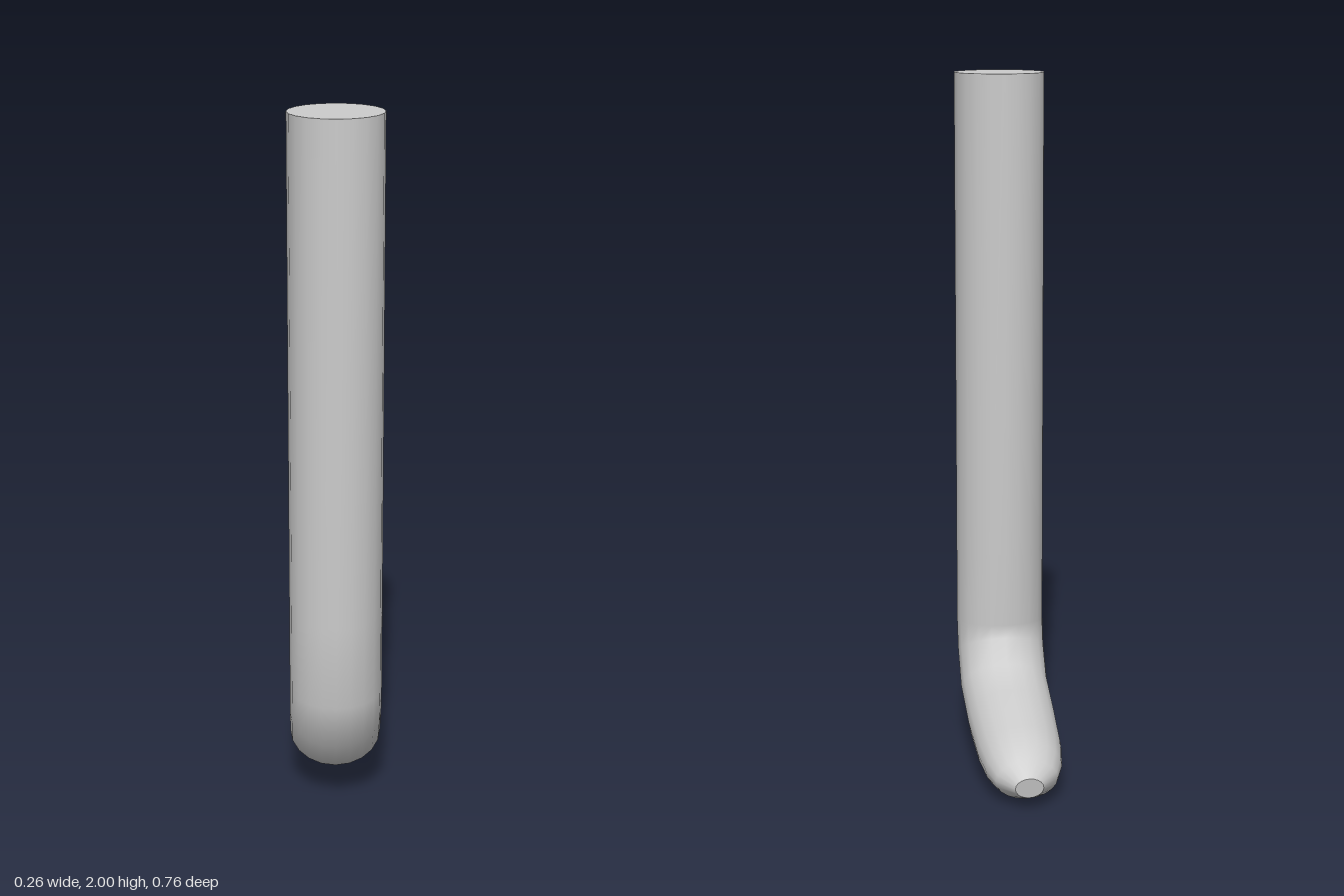
import * as THREE from 'three';

const SIDES = 20;

// Cross-sections from the top down to the tip:
// [outer z, outer y, inner z, inner y, half width in x]
const SECTIONS = [
  [0.38, 2, 0.12, 2, 0.13],
  [0.38, 0.6, 0.122, 0.6, 0.13],
  [0.373, 0.36, 0.13, 0.38, 0.13],
  [0.323, 0.217, 0.127, 0.342, 0.13],
  [0.215, 0.107, 0.085, 0.275, 0.13],
  [-0.005, 0.034, -0.038, 0.241, 0.128],
  [-0.14, 0.01, -0.215, 0.197, 0.121],
  [-0.243, 0.004, -0.285, 0.17, 0.109],
  [-0.312, 0.014, -0.333, 0.136, 0.088],
  [-0.37, 0.04, -0.38, 0.1, 0.04],
];

// Elliptical ring of points spanning the outer and inner edge
function ring([oz, oy, iz, iy, w]) {
  const points = [];
  for (let j = 0; j < SIDES; j++) {
    const a = (j / SIDES) * Math.PI * 2;
    const c = Math.cos(a) / 2;
    points.push(w * Math.sin(a), (oy + iy) / 2 + (oy - iy) * c, (oz + iz) / 2 + (oz - iz) * c);
  }
  return points;
}

function makeMesh(name, positions, index, material) {
  const geometry = new THREE.BufferGeometry();
  geometry.setAttribute('position', new THREE.Float32BufferAttribute(positions, 3));
  geometry.setIndex(index);
  geometry.computeVertexNormals();
  const mesh = new THREE.Mesh(geometry, material);
  mesh.name = name;
  return mesh;
}

// Flat end cap as a triangle fan
function cap(name, section, flip, material) {
  const index = [];
  for (let j = 1; j < SIDES - 1; j++) index.push(0, flip ? j + 1 : j, flip ? j : j + 1);
  return makeMesh(name, ring(section), index, material);
}

export function createModel() {
  const group = new THREE.Group();
  group.name = 'bentRod';
  const material = new THREE.MeshStandardMaterial({ color: 0xcccccc });

  // Smooth skin: straight shaft, bend and tapering foot
  const index = [];
  for (let i = 0; i < SECTIONS.length - 1; i++) {
    for (let j = 0; j < SIDES; j++) {
      const k = (j + 1) % SIDES;
      const a = i * SIDES + j, b = i * SIDES + k;
      index.push(a, a + SIDES, b, b, a + SIDES, b + SIDES);
    }
  }
  group.add(makeMesh('shaftAndFoot', SECTIONS.flatMap(ring), index, material));

  // Flat ends
  group.add(cap('topCap', SECTIONS[0], false, material));
  group.add(cap('toeCap', SECTIONS[SECTIONS.length - 1], true, material));
  return group;
}
